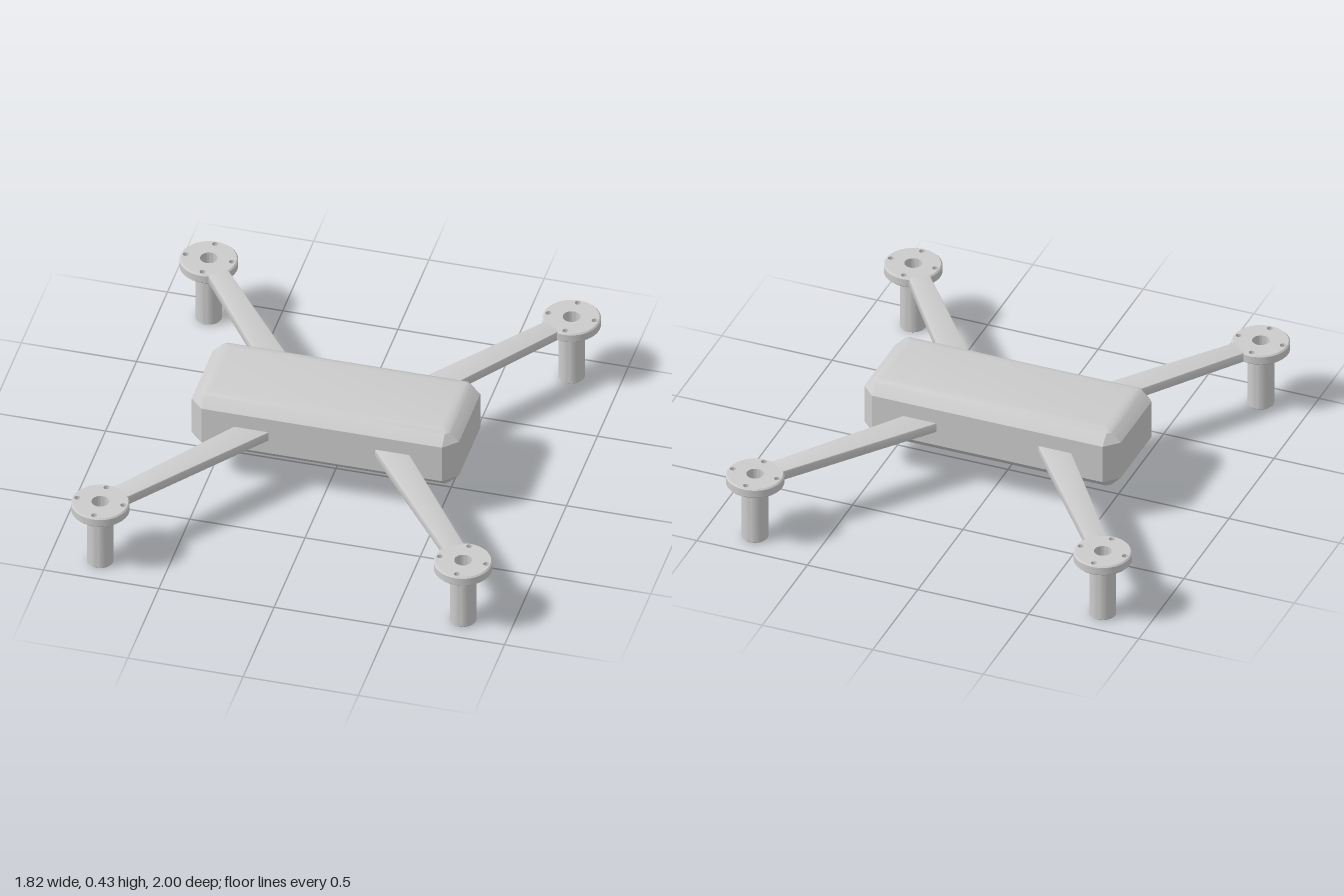
import * as THREE from 'three';
import { ConvexGeometry } from 'three/addons/geometries/ConvexGeometry.js';
import { toCreasedNormals } from 'three/addons/utils/BufferGeometryUtils.js';

const material = new THREE.MeshStandardMaterial({ color: 0xcccccc });
const HUB = { x: 0.787, z: 0.876 };
const LOW = 0.266, HIGH = 0.312, BEVEL = 0.006; // arm and hub plate heights

function part(name, geometry, crease = 0.5) {
  const mesh = new THREE.Mesh(toCreasedNormals(geometry, crease), material);
  mesh.name = name;
  return mesh;
}

function lathe(name, profile, segments = 48) {
  return part(name, new THREE.LatheGeometry(profile.map(([r, y]) => new THREE.Vector2(r, y)), segments));
}

// Lay a flat shape in the horizontal plane between LOW and HIGH
function plate(shape, bevel) {
  const geometry = new THREE.ExtrudeGeometry(shape, {
    depth: HIGH - LOW - 2 * bevel, curveSegments: 32,
    bevelEnabled: bevel > 0, bevelThickness: bevel, bevelSize: bevel, bevelOffset: -bevel, bevelSegments: 2,
  });
  return geometry.rotateX(-Math.PI / 2).translate(0, LOW + bevel, 0);
}

// Chamfered box: mirrored rings of [half x, half z, corner cut, half height]
function createBody() {
  const rings = [
    [0.58, 0.23, 0.058, 0.088],
    [0.54, 0.19, 0.018, 0.129],
    [0.522, 0.172, 0.004, 0.138],
    [0.497, 0.147, 0, 0.1415],
  ];
  const points = [];
  for (const [x, z, cut, y] of rings)
    for (const sx of [-1, 1]) for (const sy of [-1, 1]) for (const sz of [-1, 1]) {
      points.push(new THREE.Vector3(sx * x, sy * y, sz * (z - cut)));
      if (cut > 0) points.push(new THREE.Vector3(sx * (x - cut), sy * y, sz * z));
    }
  const body = part('body', new ConvexGeometry(points), 0.4);
  body.position.y = 0.2905;
  return body;
}

// Tapered arm running from the hub into the body
function createArm() {
  const near = 0.1, far = 0.95;
  const half = (d) => 0.0435 + 0.0227 * d;
  const shape = new THREE.Shape([
    new THREE.Vector2(-half(near), near), new THREE.Vector2(half(near), near),
    new THREE.Vector2(half(far), far), new THREE.Vector2(-half(far), far),
  ]);
  return part('arm', plate(shape, BEVEL));
}

// Round motor mount with a centre hole and four screw holes
function createHub() {
  const hub = new THREE.Group();
  hub.name = 'motorMount';
  const radius = 0.123, inner = radius - BEVEL;
  const disc = new THREE.Shape().absarc(0, 0, inner, 0, Math.PI * 2);
  const addHole = (x, y, r) => disc.holes.push(new THREE.Path().absarc(x, y, r, 0, Math.PI * 2, true));
  addHole(0, 0, 0.037);
  for (let i = 0; i < 4; i++) {
    const a = i * Math.PI / 2;
    addHole(0.1 * Math.cos(a), 0.1 * Math.sin(a), 0.0125);
  }
  hub.add(part('mountPlate', plate(disc, 0)));
  hub.add(lathe('mountRim', [
    [inner, LOW], [radius, LOW + BEVEL], [radius, HIGH - BEVEL], [inner, HIGH],
  ], 64));
  return hub;
}

// Hollow tube foot under each mount
function createLeg() {
  return lathe('leg', [[0.042, 0.27], [0.042, 0], [0.052, 0], [0.056, 0.004], [0.056, 0.27]]);
}

export function createModel() {
  const model = new THREE.Group();
  model.name = 'quadcopterFrame';
  model.add(createBody());

  for (const [sx, side] of [[1, 'Left'], [-1, 'Right']])
    for (const [sz, end] of [[1, 'front'], [-1, 'back']]) {
      const corner = new THREE.Group();
      corner.name = `${end}${side}Arm`;
      corner.position.set(sx * HUB.x, 0, sz * HUB.z);
      const arm = createArm();
      arm.rotation.y = Math.atan2(sx * 0.595, sz * 0.804);
      corner.add(arm, createHub(), createLeg());
      model.add(corner);
    }
  return model;
}
